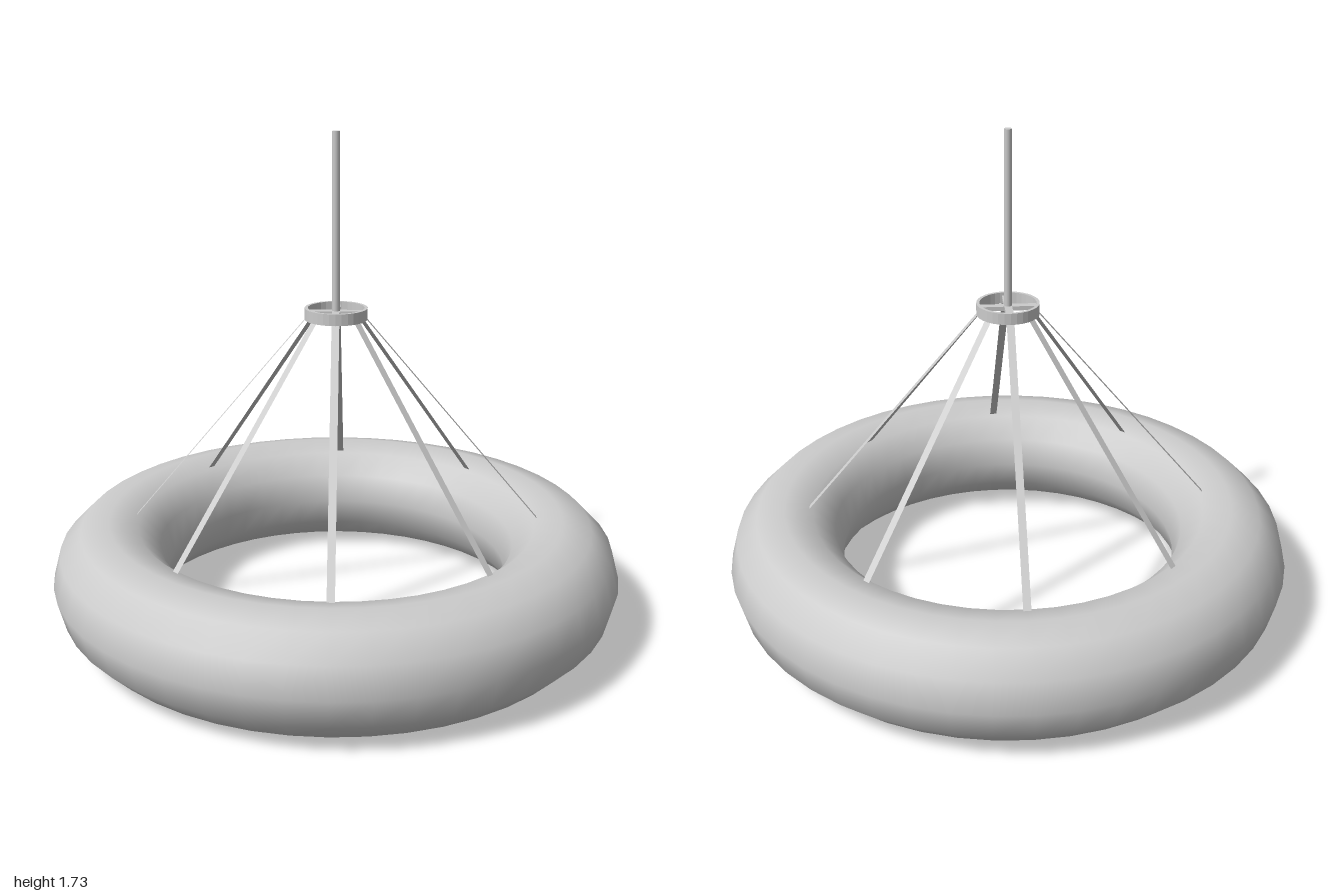
import * as THREE from 'three';

export function createModel() {
  const model = new THREE.Group();
  const grey = new THREE.MeshStandardMaterial({ color: 0xcccccc });
  const thin = new THREE.MeshStandardMaterial({ color: 0xcccccc, side: THREE.DoubleSide });
  const add = (name, geometry, material = grey, parent = model) => {
    const mesh = new THREE.Mesh(geometry, material);
    mesh.name = name;
    parent.add(mesh);
    return mesh;
  };

  // Large ring lying flat
  const ring = add('ring', new THREE.TorusGeometry(0.8, 0.2, 12, 48));
  ring.rotation.x = -Math.PI / 2;
  ring.position.y = 0.2;

  // Hub: a hollow band with a cross brace inside
  const band = new THREE.Shape().absarc(0, 0, 0.108, 0, Math.PI * 2);
  band.holes.push(new THREE.Path().absarc(0, 0, 0.097, 0, Math.PI * 2, true));
  const hubGeometry = new THREE.ExtrudeGeometry(band, { depth: 0.04, bevelEnabled: false, curveSegments: 16 });
  hubGeometry.rotateX(-Math.PI / 2);
  add('hubBand', hubGeometry).position.y = 1.098;
  for (let i = 0; i < 2; i++) {
    const brace = add('hubBrace', new THREE.BoxGeometry(0.2, 0.015, 0.026));
    brace.position.y = 1.12;
    brace.rotation.y = i * Math.PI / 2;
  }

  // Central hanging rod
  add('rod', new THREE.CylinderGeometry(0.0135, 0.0135, 0.615, 12)).position.y = 1.425;

  // Eight flat straps from the hub down to the ring
  const top = new THREE.Vector2(0.1, 1.105), foot = new THREE.Vector2(0.72, 0.37);
  const run = foot.clone().sub(top);
  for (let i = 0; i < 8; i++) {
    const arm = new THREE.Group();
    arm.name = 'strapArm';
    arm.rotation.y = i * Math.PI / 4;
    model.add(arm);
    const strapGeometry = new THREE.PlaneGeometry(run.length(), 0.026).rotateX(-Math.PI / 2);
    const strap = add('strap', strapGeometry, thin, arm);
    strap.position.set((top.x + foot.x) / 2, (top.y + foot.y) / 2, 0);
    strap.rotation.z = Math.atan2(run.y, run.x);
  }
  return model;
}
